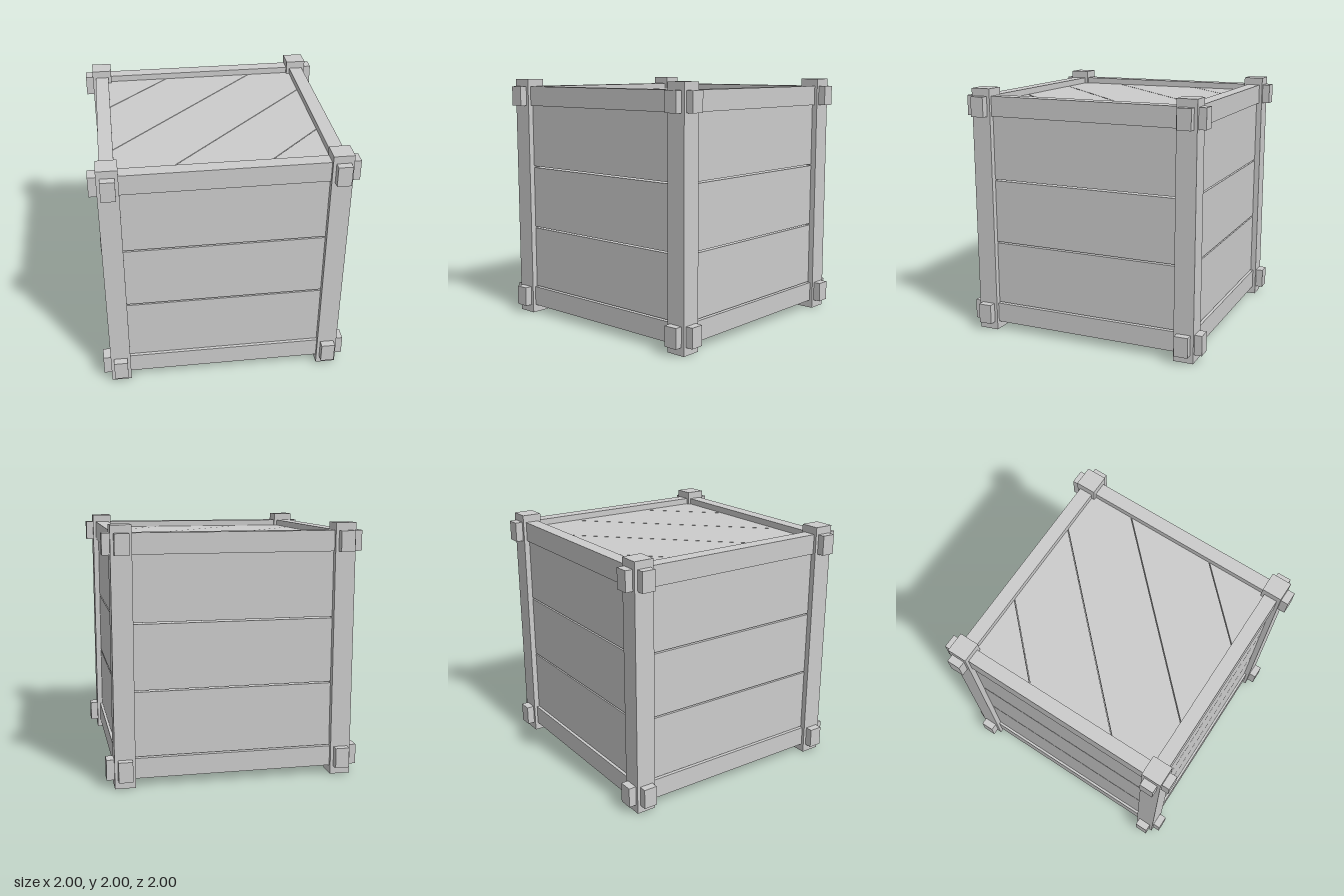
import * as THREE from 'three';

const material = new THREE.MeshStandardMaterial({ color: 0xcccccc, flatShading: true });

function addBox(parent, name, size, position) {
  const mesh = new THREE.Mesh(new THREE.BoxGeometry(...size), material);
  mesh.name = name;
  mesh.position.set(...position);
  parent.add(mesh);
}

// Diagonal board: the strip a < x + z < b of a square with half side h
function diagonalBoard(a, b, h, thickness) {
  const end = (c) => {
    const x = Math.min(h, c + h);
    return [x, c - x];
  };
  const side = [end(a)];
  if (a < 0 && b > 0) side.push([h, -h]);
  side.push(end(b));
  const other = side.map(([x, z]) => [z, x]).reverse();
  const outline = [...side, ...other]
    .filter((p, i, all) => {
      const q = all[(i + 1) % all.length];
      return Math.hypot(p[0] - q[0], p[1] - q[1]) > 1e-6;
    })
    .map(([x, z]) => new THREE.Vector2(x, z));
  const geometry = new THREE.ExtrudeGeometry(new THREE.Shape(outline), { depth: thickness, bevelEnabled: false });
  return geometry.rotateX(Math.PI / 2); // top face at y = 0
}

export function createModel() {
  const crate = new THREE.Group();
  crate.name = 'crate';
  const signs = [-1, 1];

  // Corner posts
  for (const sx of signs) {
    for (const sz of signs) addBox(crate, 'cornerPost', [0.16, 2, 0.16], [sx * 0.86, 1, sz * 0.86]);
  }

  // Rails running through the posts, ends sticking out
  for (const y of [0.145, 1.86]) {
    for (const s of signs) {
      addBox(crate, 'crossRail', [2, 0.16, 0.11], [0, y, s * 0.86]);
      addBox(crate, 'sideRail', [0.11, 0.16, 2], [s * 0.86, y, 0]);
    }
  }

  // Three horizontal planks per wall, with narrow open gaps
  for (let wall = 0; wall < 4; wall++) {
    const group = new THREE.Group();
    group.name = 'plankWall';
    group.rotation.y = wall * Math.PI / 2;
    for (let i = 0; i < 3; i++) addBox(group, 'wallPlank', [1.6, 0.508, 0.07], [0, 0.485 + i * 0.52, 0.86]);
    crate.add(group);
  }

  // Lid and floor of diagonal boards, sunk between the rails
  const half = 0.807, pitch = 0.735, gap = 0.008, thickness = 0.07;
  for (const [name, top] of [['lid', 1.89], ['floor', 0.18]]) {
    const panel = new THREE.Group();
    panel.name = name;
    panel.position.y = top;
    for (let i = -2; i <= 2; i++) {
      const a = Math.max(-2 * half, (i - 0.5) * pitch + gap / 2);
      const b = Math.min(2 * half, (i + 0.5) * pitch - gap / 2);
      const board = new THREE.Mesh(diagonalBoard(a, b, half, thickness), material);
      board.name = name + 'Board';
      panel.add(board);
    }
    crate.add(panel);
  }

  return crate;
}
